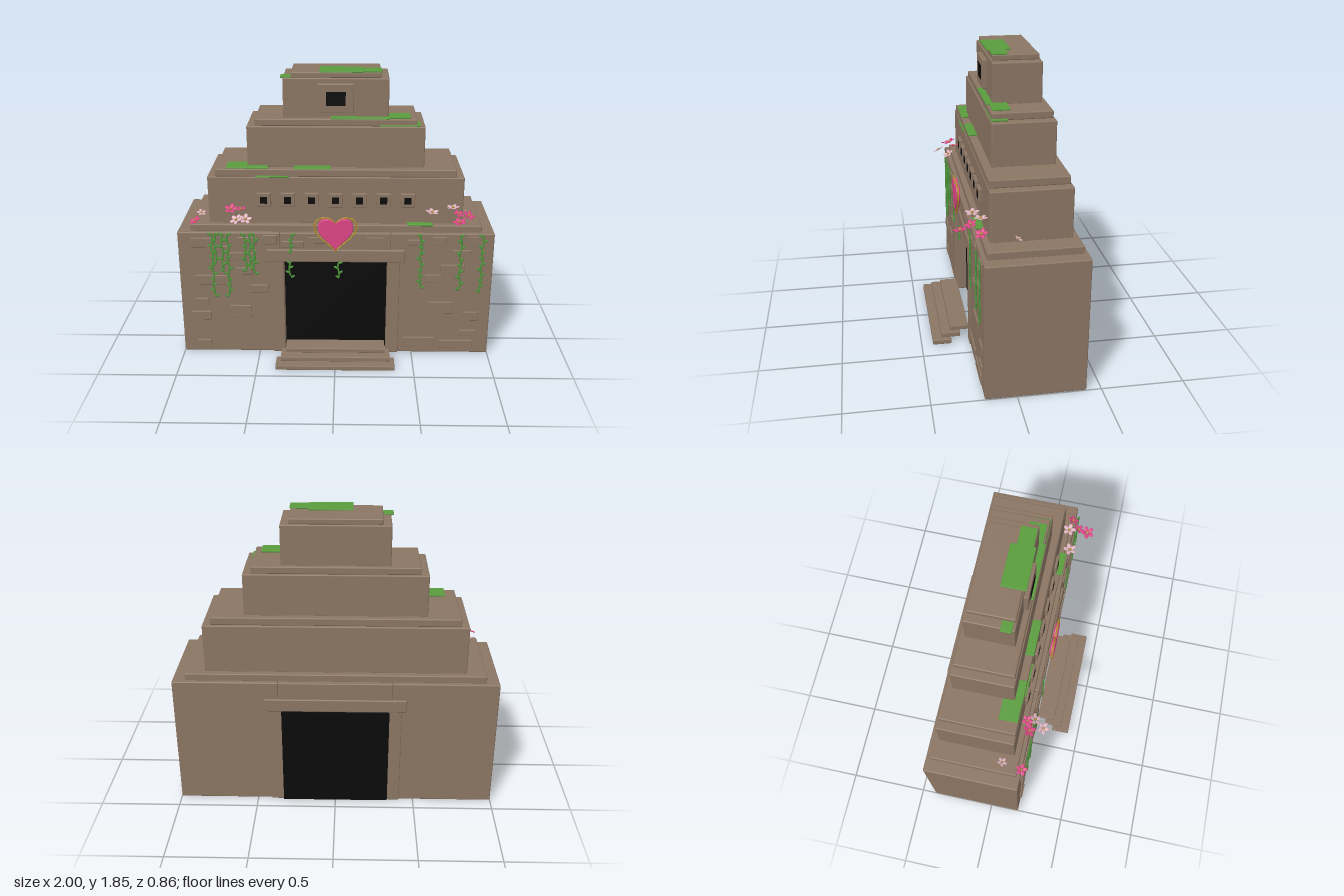
import * as THREE from 'three';
import { RoundedBoxGeometry } from 'three/addons/geometries/RoundedBoxGeometry.js';
import { mergeGeometries } from 'three/addons/utils/BufferGeometryUtils.js';

const mat = (name, color, side = THREE.FrontSide) => {
  const m = new THREE.MeshStandardMaterial({ color, side });
  m.name = name;
  return m;
};

export function createModel() {
  const stone = mat('stone', 0x8b7563);
  const dark = mat('dark opening', 0x0b0b0b);
  const moss = mat('moss green', 0x5a9c3e);
  const vine = mat('vine green', 0x4f9a3c, THREE.DoubleSide);
  const pink = mat('deep pink', 0xdc4585, THREE.DoubleSide);
  const pale = mat('pale pink', 0xe0b4c0, THREE.DoubleSide);
  const gold = mat('gold', 0xb8922e);

  const model = new THREE.Group();
  model.name = 'temple';
  const group = (name, parent = model) => {
    const g = new THREE.Group();
    g.name = name;
    parent.add(g);
    return g;
  };
  // box from its two corners, optionally with a softened edge
  const box = (name, parent, m, x0, x1, y0, y1, z0, z1, r = 0) => {
    const [w, h, d] = [x1 - x0, y1 - y0, z1 - z0];
    const geo = r ? new RoundedBoxGeometry(w, h, d, 2, r) : new THREE.BoxGeometry(w, h, d);
    const mesh = new THREE.Mesh(geo, m);
    mesh.name = name;
    mesh.position.set((x0 + x1) / 2, (y0 + y1) / 2, (z0 + z1) / 2);
    parent.add(mesh);
    return mesh;
  };

  // base walls around the doorway
  const base = group('base');
  for (const s of [-1, 1]) {
    const a = s * 0.35, b = s;
    box('wall', base, stone, Math.min(a, b), Math.max(a, b), 0, 0.85, -0.41, 0.19, 0.008);
    const c = s * 0.33, d = s * 0.41;
    box('doorJamb', base, stone, Math.min(c, d), Math.max(c, d), 0, 0.68, -0.418, 0.198, 0.005);
  }
  box('wallOverDoor', base, stone, -0.35, 0.35, 0.65, 0.85, -0.414, 0.194, 0.006);
  box('lintel', base, stone, -0.44, 0.44, 0.655, 0.74, -0.422, 0.205, 0.008);
  box('doorway', base, dark, -0.333, 0.333, 0.002, 0.652, -0.428, 0.12);

  // stacked tiers, each with a cap slab: half width, bottom, top, back, front
  const tiers = group('tiers');
  [
    [0.92, 0.845, 0.895, -0.385, 0.165], [0.8, 0.89, 1.2, -0.348, 0.13],
    [0.75, 1.2, 1.25, -0.337, 0.128], [0.55, 1.245, 1.51, -0.298, 0.08],
    [0.5, 1.51, 1.555, -0.288, 0.072], [0.325, 1.55, 1.8, -0.258, 0.037],
    [0.275, 1.8, 1.835, -0.247, 0.03],
  ].forEach(([w, y0, y1, z0, z1], i) =>
    box(i % 2 ? 'tier' : 'capSlab', tiers, stone, -w, w, y0, y1, z0, z1, 0.007));

  // front steps
  const steps = group('steps');
  for (let i = 0; i < 3; i++) {
    const w = 0.38 - i * 0.03, z = 0.428 - i * 0.058;
    box('step', steps, stone, -w, w, i * 0.03, i * 0.03 + 0.03, z - 0.118, z, 0.004);
  }

  // small framed windows
  const windows = group('windows');
  const addWindow = (x, y, z, w, h, iw, ih, depth) => {
    box('windowFrame', windows, stone, x - w, x + w, y - h, y + h, z - 0.02, z + depth, 0.005);
    box('windowOpening', windows, dark, x - iw, x + iw, y - ih, y + ih, z + depth - 0.004, z + depth + 0.003);
  };
  for (let i = -3; i <= 3; i++) addWindow(i * 0.15, 1.052, 0.13, 0.046, 0.046, 0.022, 0.022, 0.017);
  addWindow(0, 1.68, 0.037, 0.11, 0.09, 0.06, 0.043, 0.028);

  // raised stones on the front: x0, x1, y0, y1
  const bricks = group('raisedStones');
  [
    [-0.9, -0.68, 0.49, 0.555], [-0.94, -0.81, 0.235, 0.295], [-0.91, -0.82, 0.335, 0.39],
    [-0.91, -0.82, 0.03, 0.085], [-0.685, -0.545, 0.25, 0.34], [-0.545, -0.43, 0.435, 0.49],
    [-0.92, -0.78, 0.75, 0.815], [-0.82, -0.68, 0.715, 0.76], [-0.71, -0.52, 0.66, 0.715],
    [-0.46, -0.37, 0.77, 0.835], [-0.64, -0.53, 0.56, 0.61], [-0.62, -0.5, 0.77, 0.82],
    [-0.34, -0.2, 0.75, 0.795], [-0.17, -0.06, 0.78, 0.825], [0.19, 0.3, 0.78, 0.825],
    [0.45, 0.55, 0.77, 0.81], [0.61, 0.7, 0.77, 0.83], [0.74, 0.86, 0.695, 0.74],
    [0.57, 0.76, 0.515, 0.57], [0.67, 0.82, 0.565, 0.64], [0.83, 0.93, 0.765, 0.835],
    [0.6, 0.76, 0.29, 0.375], [0.825, 0.925, 0.24, 0.305], [0.81, 0.92, 0.13, 0.17],
    [0.68, 0.9, 0.035, 0.095], [0.44, 0.65, 0.04, 0.115],
  ].forEach(([x0, x1, y0, y1]) => box('raisedStone', bricks, stone, x0, x1, y0, y1, 0.18, 0.2, 0.004));

  // moss patches: x0, x1, y, z0, z1
  const mossPatches = group('mossPatches');
  [
    [-0.1, 0.165, 1.836, -0.095, 0.05], [0.1, 0.28, 1.835, -0.06, 0.035],
    [-0.34, -0.27, 1.797, -0.045, 0.02], [0.32, 0.46, 1.555, -0.045, 0.06],
    [-0.03, 0.33, 1.554, 0.03, 0.078], [0.27, 0.52, 1.51, -0.02, 0.075],
    [-0.68, -0.55, 1.251, 0.01, 0.125], [-0.56, -0.42, 1.25, 0.075, 0.128],
    [-0.26, -0.03, 1.25, 0.075, 0.134], [-0.5, -0.29, 1.197, 0.09, 0.138],
    [0.45, 0.61, 0.896, 0.135, 0.18],
  ].forEach(([x0, x1, y, z0, z1]) => box('mossPatch', mossPatches, moss, x0, x1, y, y + 0.011, z0, z1, 0.003));

  // hanging vines with leaves: x, top, bottom
  const vines = group('vines');
  [
    [-0.78, 0.85, 0.42], [-0.76, 0.85, 0.64], [-0.715, 0.85, 0.6], [-0.68, 0.85, 0.42],
    [-0.57, 0.85, 0.6], [-0.54, 0.85, 0.63], [-0.515, 0.85, 0.58], [-0.28, 0.85, 0.73],
    [-0.29, 0.66, 0.56], [0.02, 0.66, 0.56], [0.54, 0.85, 0.49], [0.79, 0.85, 0.48],
    [0.925, 0.85, 0.465],
  ].forEach(([x, top, bottom], k) => {
    const pts = [], parts = [];
    const n = Math.max(3, Math.round((top - bottom) / 0.04));
    for (let i = 0; i <= n; i++) {
      const p = new THREE.Vector3(x + 0.006 * Math.sin(i * 1.9 + k), top - (top - bottom) * i / n, 0.207);
      pts.push(p);
      const s = (i + k) % 2 ? 1 : -1;
      const leaf = new THREE.SphereGeometry(1, 6, 4).scale(0.016, 0.008, 0.003);
      leaf.rotateZ(s * 0.6).translate(p.x + s * 0.012, p.y - 0.004, p.z + 0.002);
      parts.push(leaf);
    }
    parts.push(new THREE.TubeGeometry(new THREE.CatmullRomCurve3(pts), n * 2, 0.006, 5));
    const mesh = new THREE.Mesh(mergeGeometries(parts), vine);
    mesh.name = 'vine';
    vines.add(mesh);
  });

  // heart emblem with a twisted gold border
  const heart = group('heart');
  heart.position.set(0, 0.873, 0);
  const outline = (w, h) => {
    const s = new THREE.Shape();
    s.moveTo(0, -0.115 * h);
    s.bezierCurveTo(-0.03 * w, -0.07 * h, -0.105 * w, -0.03 * h, -0.105 * w, 0.03 * h);
    s.bezierCurveTo(-0.105 * w, 0.095 * h, -0.02 * w, 0.1 * h, 0, 0.045 * h);
    s.bezierCurveTo(0.02 * w, 0.1 * h, 0.105 * w, 0.095 * h, 0.105 * w, 0.03 * h);
    s.bezierCurveTo(0.105 * w, -0.03 * h, 0.03 * w, -0.07 * h, 0, -0.115 * h);
    return s;
  };
  const heartGeo = new THREE.ExtrudeGeometry(outline(1, 1), {
    depth: 0.014, bevelSize: 0.005, bevelThickness: 0.006, bevelSegments: 2, curveSegments: 14,
  });
  const heartBody = new THREE.Mesh(heartGeo.translate(0, 0, 0.215), pink);
  heartBody.name = 'heartBody';
  const rim = outline(1.25, 1.13).getSpacedPoints(72).slice(0, -1);
  const strands = [0, Math.PI].map((phase) => {
    const pts = rim.map((p, i) => {
      const a = i * Math.PI / 4 + phase;
      return new THREE.Vector3(p.x * (1 + 0.03 * Math.cos(a)), p.y * (1 + 0.03 * Math.cos(a)), 0.225 + 0.004 * Math.sin(a));
    });
    return new THREE.TubeGeometry(new THREE.CatmullRomCurve3(pts, true), 144, 0.0035, 5, true);
  });
  const border = new THREE.Mesh(mergeGeometries(strands), gold);
  border.name = 'heartBorder';
  heart.add(heartBody, border);

  // five-petalled flowers: x, y, z, size, tilt forward, tilt sideways, material
  const petals = [];
  for (let i = 0; i < 5; i++) {
    const petal = new THREE.SphereGeometry(1, 8, 6).scale(0.42, 0.07, 0.3);
    petals.push(petal.rotateZ(0.2).translate(0.56, 0.06, 0).rotateY(i * Math.PI * 0.4));
  }
  const petalGeo = mergeGeometries(petals);
  const centreGeo = new THREE.SphereGeometry(0.18, 8, 6).translate(0, 0.08, 0);
  const flowers = group('flowers');
  [
    [-0.88, 0.93, 0.19, 0.04, 0.3, 0.4, pink], [-0.86, 0.935, 0.065, 0.033, 0.5, -0.3, pale],
    [-0.65, 1.01, 0.19, 0.044, 0.25, 0.2, pink], [-0.59, 1.0, 0.165, 0.035, 0.4, -0.4, pink],
    [-0.56, 0.95, 0.21, 0.042, 0.5, 0.2, pale], [-0.61, 0.97, 0.27, 0.042, 0.4, -0.3, pale],
    [0.6, 1.0, 0.2, 0.046, 0.2, 0.15, pale], [0.73, 1.02, 0.17, 0.044, 0.4, 0.4, pale],
    [0.76, 0.97, 0.29, 0.046, 0.3, 0.2, pink], [0.83, 0.97, 0.18, 0.042, 0.4, -0.4, pink],
    [0.76, 1.0, 0.23, 0.038, 0.5, -0.3, pink], [0.82, 0.92, -0.03, 0.026, 0.3, -0.8, pale],
  ].forEach(([x, y, z, size, tx, tz, m], i) => {
    const f = group('flower', flowers);
    f.position.set(x, y, z);
    f.rotation.set(tx, i * 0.7, tz);
    f.scale.setScalar(size);
    const bloom = new THREE.Mesh(petalGeo, m);
    bloom.name = 'petals';
    const centre = new THREE.Mesh(centreGeo, gold);
    centre.name = 'flowerCentre';
    f.add(bloom, centre);
  });

  return model;
}
